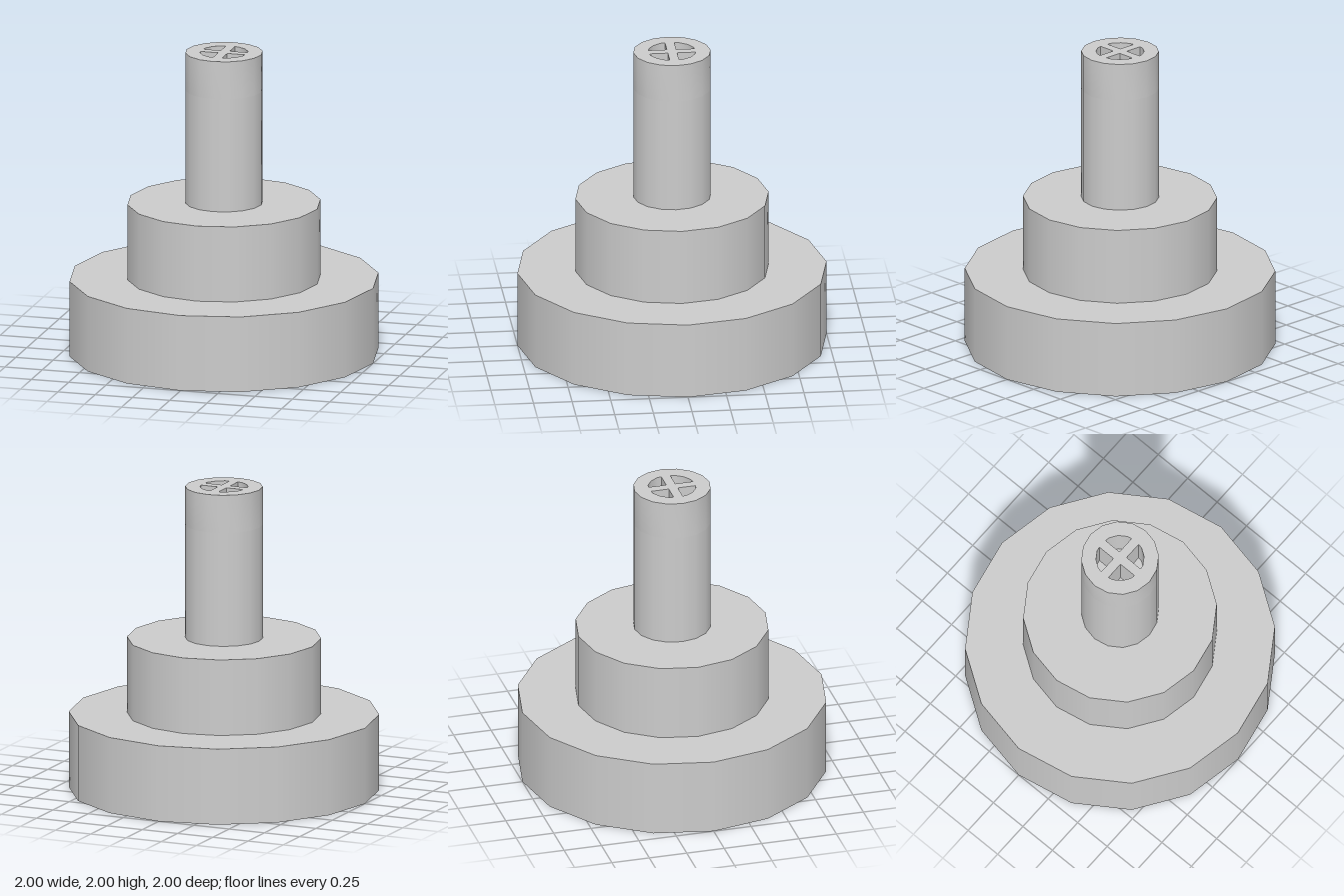
import * as THREE from 'three';
import { toCreasedNormals } from 'three/addons/utils/BufferGeometryUtils.js';

const SIDES = 16;

export function createModel() {
  const group = new THREE.Group();
  const material = new THREE.MeshStandardMaterial({ color: 0xcccccc });

  const add = (name, geometry) => {
    const mesh = new THREE.Mesh(geometry, material);
    mesh.name = name;
    group.add(mesh);
  };
  const drum = (name, radius, bottom, top) => {
    const geometry = new THREE.CylinderGeometry(radius, radius, top - bottom, SIDES);
    add(name, geometry.translate(0, (bottom + top) / 2, 0));
  };
  const rim = (radius, i) => {
    const a = (i / SIDES) * Math.PI * 2;
    return new THREE.Vector2(radius * Math.cos(a), radius * Math.sin(a));
  };

  // Stepped body
  const stemRadius = 0.25, recessFloor = 1.75;
  drum('base', 1, 0, 0.5);
  drum('collar', 0.625, 0.5, 1);
  drum('stem', stemRadius, 1, recessFloor);

  // Stem head: four quadrant recesses separated by a cross
  const head = new THREE.Shape(Array.from({ length: SIDES }, (_, i) => rim(stemRadius, i)));
  const bar = 0.03, reach = 0.149;
  const quadrant = [
    new THREE.Vector2(bar, bar),
    new THREE.Vector2(reach, bar),
    ...[1, 2, 3].map((i) => rim(0.155, i)),
    new THREE.Vector2(bar, reach),
  ];
  for (let q = 0; q < 4; q++) {
    const corner = quadrant.map((p) => p.clone().rotateAround(new THREE.Vector2(), (q * Math.PI) / 2));
    head.holes.push(new THREE.Path(corner));
  }
  const headGeometry = new THREE.ExtrudeGeometry(head, { depth: 2 - recessFloor, bevelEnabled: false });
  headGeometry.rotateX(-Math.PI / 2).translate(0, recessFloor, 0);
  add('stemHead', toCreasedNormals(headGeometry, 0.5));

  return group;
}
